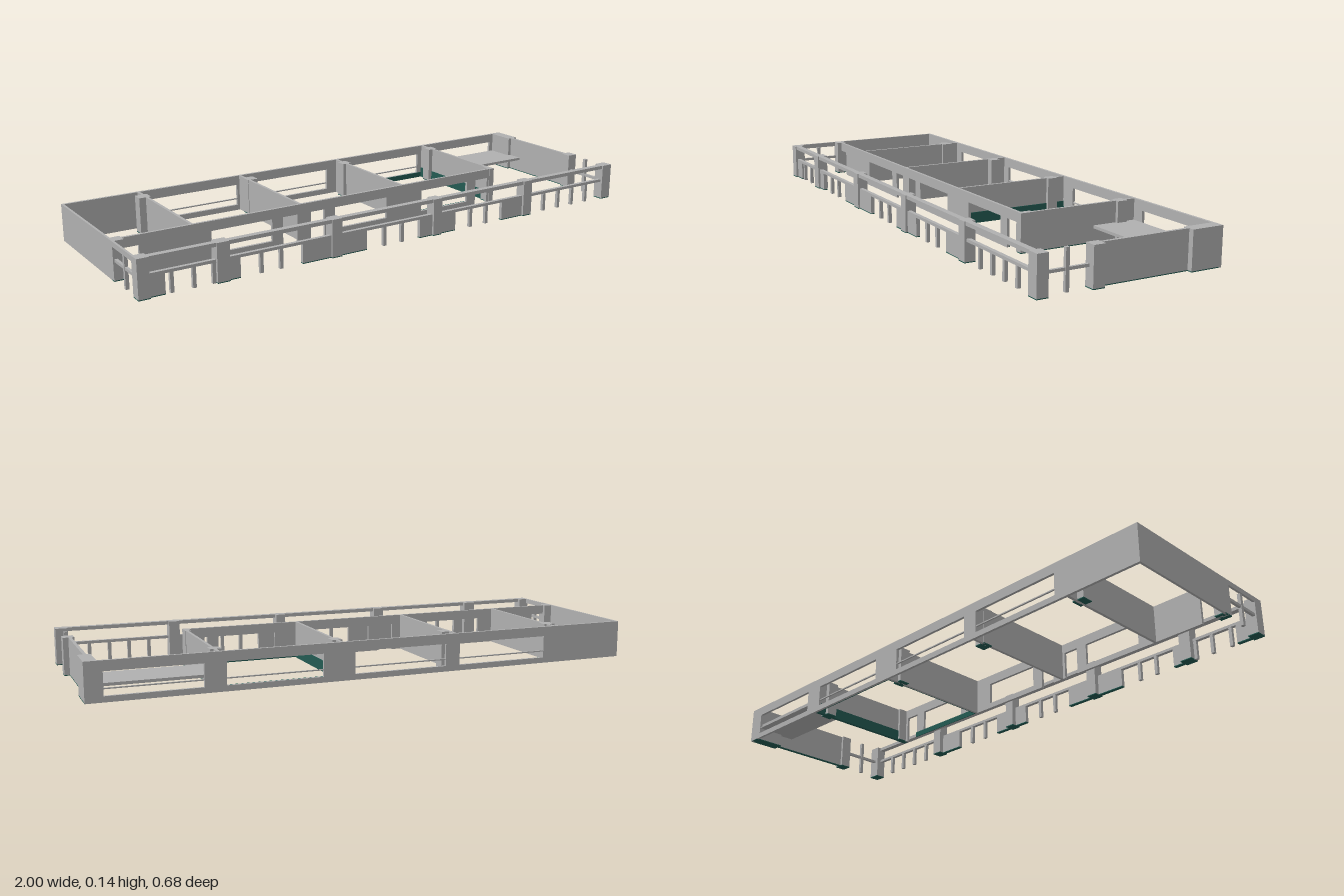
import * as THREE from 'three';

const H = 0.135;

export function createModel() {
  const model = new THREE.Group();
  model.name = 'floorPlan';
  const concrete = new THREE.MeshStandardMaterial({ color: 0xb0b0b0 });
  concrete.name = 'concreteGrey';
  const tile = new THREE.MeshStandardMaterial({ color: 0x235a52 });
  tile.name = 'darkTeal';

  // box given by its limits on each axis
  function block(name, x0, x1, y0, y1, z0, z1, material = concrete) {
    const mesh = new THREE.Mesh(new THREE.BoxGeometry(x1 - x0, y1 - y0, z1 - z0), material);
    mesh.position.set((x0 + x1) / 2, (y0 + y1) / 2, (z0 + z1) / 2);
    mesh.name = name;
    model.add(mesh);
  }
  // thin teal plate on the underside of a part
  const foot = (x0, x1, z0, z1) => block('footPlate', x0, x1, 0, 0.003, z0, z1, tile);
  function footed(name, x0, x1, top, z0, z1) {
    block(name, x0, x1, 0.003, top, z0, z1);
    foot(x0, x1, z0, z1);
  }
  // wall along x with openings [x0, x1, sill, head]
  function wall(name, x0, x1, z0, z1, openings) {
    let x = x0;
    for (const [a, b, sill, head] of openings) {
      block(name, x, a, 0, H, z0, z1);
      if (sill > 0) block(name + 'Sill', a, b, 0, sill, z0, z1);
      block(name + 'Lintel', a, b, head, H, z0, z1);
      x = b;
    }
    block(name, x, x1, 0, H, z0, z1);
  }

  // back wall with four long windows
  const backWindows = [[-0.67, -0.32], [-0.265, 0.085], [0.2, 0.54], [0.615, 0.94]];
  wall('backWall', -1, 1, -0.338, -0.328, backWindows.map(([a, b]) => [a, b, 0.02, 0.1]));
  for (const [a, b] of backWindows) block('windowBar', a, b, 0.042, 0.046, -0.336, -0.33);

  // inner corridor wall with doors and windows
  wall('corridorWall', -1, 0.57, 0.115, 0.125, [
    [-0.96, -0.905, 0, 0.1],
    [-0.65, -0.42, 0.02, 0.1], [-0.378, -0.32, 0, 0.1],
    [-0.265, -0.208, 0, 0.1], [-0.165, 0.06, 0.02, 0.1],
    [0.22, 0.44, 0.02, 0.1], [0.482, 0.54, 0, 0.1],
  ]);

  // end walls
  block('rightEndWall', -1, -0.992, 0, H, -0.328, 0.115);
  footed('leftEndWall', 0.97, 0.981, H, -0.22, 0.103);

  // partitions between rooms
  for (const x of [-0.717, -0.305, 0.133]) block('partition', x - 0.005, x + 0.005, 0, H, -0.328, 0.115);
  footed('partition', 0.56, 0.57, H, -0.328, 0.115);

  // columns inside
  for (const [a, b] of [[-0.747, -0.702], [-0.312, -0.272], [0.114, 0.151], [0.543, 0.582]]) {
    footed('roomColumn', a, b, H, -0.291, -0.251);
  }
  footed('corridorColumn', -1, -0.96, H, 0.103, 0.142);
  footed('corridorColumn', 0.55, 0.572, H, 0.08, 0.127);
  footed('endColumn', 0.96, 1, H, 0.103, 0.145);
  footed('cornerColumn', 0.957, 1, H, -0.338, -0.22);

  // columns along the front
  const frontColumns = [[-1, -0.96], [-0.735, -0.69], [-0.31, -0.27], [0.115, 0.152], [0.54, 0.58], [0.955, 1]];
  for (const [a, b] of frontColumns) footed('frontColumn', a, b, H, 0.298, 0.338);

  // front beam and handrail spanning each bay
  for (let i = 0; i < 5; i++) {
    const a = frontColumns[i][1], b = frontColumns[i + 1][0];
    block('frontBeam', a, b, 0.122, H, 0.312, 0.334);
    block('frontRail', a, b, 0.069, 0.079, 0.316, 0.33);
  }
  // low panels beside the columns
  for (const [a, b] of [[-0.96, -0.908], [-0.69, -0.65], [-0.42, -0.31], [-0.27, -0.165],
    [0.06, 0.115], [0.152, 0.22], [0.44, 0.54]]) {
    footed('frontPanel', a, b, 0.069, 0.316, 0.33);
  }
  // slim posts under the handrail
  for (const x of [-0.885, -0.81, -0.742, -0.573, -0.5, -0.09, -0.015, 0.293, 0.367,
    0.655, 0.73, 0.803, 0.877]) {
    block('railPost', x - 0.006, x + 0.006, 0, 0.069, 0.317, 0.329);
  }

  // side openings of the corridor
  for (const x of [-0.99, 0.975]) {
    block('sideRail', x - 0.005, x + 0.005, 0.065, 0.075, 0.142, 0.3);
    block('sidePost', x - 0.006, x + 0.006, 0, x > 0 ? H : 0.117, 0.215, 0.228);
  }
  block('sideBeam', -1, -0.992, 0.117, H, 0.142, 0.3);

  // raised slab in the back corner
  block('landingSlab', 0.57, 0.97, 0.05, 0.06, -0.328, -0.16);

  // teal dado around one room
  block('dado', 0.138, 0.141, 0, 0.04, -0.328, 0.115, tile);
  block('dado', 0.557, 0.56, 0, 0.04, -0.328, 0.115, tile);
  block('dado', 0.141, 0.557, 0, 0.02, -0.328, -0.325, tile);
  block('dado', 0.141, 0.482, 0, 0.02, 0.112, 0.115, tile);

  return model;
}
